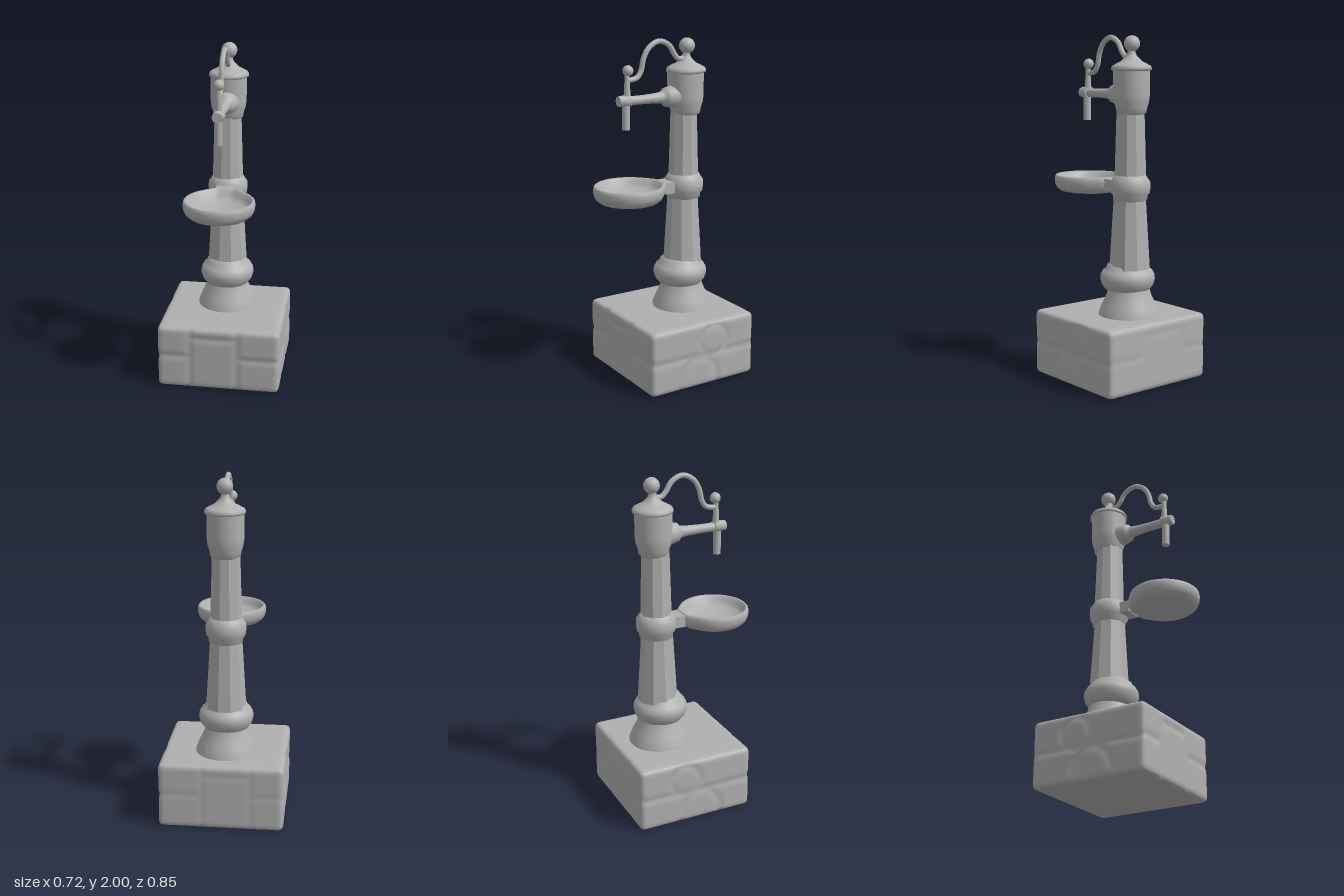
import * as THREE from 'three';
import { mergeVertices, toCreasedNormals } from 'three/addons/utils/BufferGeometryUtils.js';

const stone = new THREE.MeshStandardMaterial({ color: 0xb0b0b0 });
stone.name = 'grey stone';

export function createModel() {
  const group = new THREE.Group();

  const add = (name, geometry, x = 0, y = 0, z = 0) => {
    const mesh = new THREE.Mesh(geometry, stone);
    mesh.name = name;
    mesh.position.set(x, y, z);
    group.add(mesh);
    return mesh;
  };
  const lathe = (points, sides = 40) =>
    new THREE.LatheGeometry(points.map(([r, y]) => new THREE.Vector2(r, y)), sides);
  const ball = (name, r, x, y, z) => add(name, new THREE.SphereGeometry(r, 24, 16), x, y, z);

  add('stoneBlock', blockGeometry(), 0, 0.193, -0.07);

  // Flared foot and its thick ring
  add('foot', lathe([[0.18, 0.37], [0.175, 0.4], [0.155, 0.45], [0.13, 0.5], [0.12, 0.54]]), -0.005, 0, -0.15);
  add('footRing', lathe([
    [0.1, 0.525], [0.13, 0.535], [0.15, 0.56], [0.16, 0.595], [0.157, 0.62],
    [0.143, 0.645], [0.125, 0.655], [0.12, 0.675], [0.1, 0.69],
  ]), -0.005, 0, -0.138);

  // Faceted shafts
  const shaft = (name, y0, y1, r0, r1, z) => {
    const g = new THREE.CylinderGeometry(r1, r0, y1 - y0, 10, 1, true);
    add(name, toCreasedNormals(g, 0.4), -0.006, (y0 + y1) / 2, z).rotation.y = Math.PI / 10;
  };
  shaft('lowerShaft', 0.66, 1.07, 0.118, 0.093, -0.155);
  shaft('upperShaft', 1.19, 1.57, 0.091, 0.08, -0.16);

  // Collar carrying the basin
  add('collar', lathe([
    [0.085, 1.055], [0.098, 1.06], [0.1, 1.085], [0.113, 1.1], [0.117, 1.13], [0.115, 1.165],
    [0.1, 1.185], [0.092, 1.2], [0.08, 1.205],
  ]), -0.005, 0, -0.16);

  // Pump head with domed cap
  add('pumpHead', lathe([
    [0.07, 1.55], [0.085, 1.56], [0.09, 1.59], [0.1, 1.62], [0.105, 1.66], [0.106, 1.79], [0.106, 1.8],
  ]), -0.004, 0, -0.17);
  add('headCap', lathe([
    [0.1, 1.795], [0.115, 1.8], [0.116, 1.812], [0.109, 1.825], [0.098, 1.83], [0.085, 1.838],
    [0.06, 1.85], [0.045, 1.865], [0.03, 1.88], [0.022, 1.9], [0.022, 1.92],
  ]), -0.002, 0, -0.172);
  ball('capBall', 0.046, -0.001, 1.948, -0.177);

  // Spout, turned about the z axis
  const spout = lathe([
    [0.07, -0.1], [0.062, -0.055], [0.056, -0.035], [0.053, -0.022], [0.04, -0.016],
    [0.034, 0], [0.029, 0.05], [0.026, 0.12], [0.026, 0.23],
  ], 24);
  spout.rotateX(Math.PI / 2);
  add('spout', spout, 0, 1.662, 0);
  const tap = new THREE.CylinderGeometry(0.03, 0.037, 0.072, 8);
  tap.rotateX(Math.PI / 2);
  add('tapBody', toCreasedNormals(tap, 0.9), 0, 1.664, 0.246);
  add('downPipe', new THREE.CylinderGeometry(0.022, 0.023, 0.15, 20), 0, 1.575, 0.233);
  add('tapPost', new THREE.CylinderGeometry(0.013, 0.02, 0.13, 16), 0, 1.75, 0.224);
  ball('tapBall', 0.031, 0, 1.832, 0.218);

  // Swan-neck handle
  const path = new THREE.CatmullRomCurve3([
    [1.778, 0.222], [1.78, 0.19], [1.79, 0.158], [1.825, 0.133], [1.895, 0.115], [1.953, 0.078],
    [1.984, 0.012], [1.957, -0.054], [1.9, -0.093], [1.876, -0.122], [1.885, -0.172],
  ].map(([y, z]) => new THREE.Vector3(0, y, z)));
  add('handle', new THREE.TubeGeometry(path, 64, 0.0155, 12));

  // Basin and the bracket that joins it to the collar
  add('basin', basinGeometry());
  add('basinBracket', new THREE.BoxGeometry(0.11, 0.068, 0.1), 0, 1.135, -0.045);
  return group;
}

// Rounded block with shallow joints between its stones
function blockGeometry() {
  const half = new THREE.Vector3(0.362, 0.193, 0.355), r = 0.028;
  let g = new THREE.BoxGeometry(half.x * 2, half.y * 2, half.z * 2, 48, 28, 48);
  g.deleteAttribute('uv');
  g.deleteAttribute('normal');
  g = mergeVertices(g);
  const core = half.clone().subScalar(r), low = core.clone().negate();
  const pos = g.attributes.position, p = new THREE.Vector3(), c = new THREE.Vector3();
  const line = (d) => Math.exp(-((d / 0.018) ** 2));
  for (let i = 0; i < pos.count; i++) {
    p.fromBufferAttribute(pos, i);
    c.copy(p).clamp(low, core);
    const dir = p.clone().sub(c).normalize();
    let dent = 0;
    if (Math.abs(dir.z) > 0.7) {
      // front and back: a central stone with split courses beside it
      const depth = dir.z > 0 ? 1 : 0.4;
      const inside = p.x > -0.17 && p.x < 0.11;
      dent = depth * Math.max(line(p.x + 0.17), line(p.x - 0.11), inside ? line(p.y - 0.13) : line(p.y - 0.01));
    } else if (Math.abs(dir.x) > 0.7) {
      // sides: a round stone above an arched one
      const round = Math.hypot(p.z + 0.07, p.y - 0.08) - 0.09;
      const arch = Math.hypot(p.z - 0.03, (p.y + 0.19) * 0.7) - 0.13;
      dent = Math.max(line(round), line(arch), round > 0 && arch > 0 ? line(p.y) : 0);
    }
    p.copy(c).addScaledVector(dir, r - 0.007 * dent);
    pos.setXYZ(i, p.x, p.y, p.z);
  }
  g.computeVertexNormals();
  return g;
}

// Round bowl whose rim narrows to a neck at the back
function basinGeometry() {
  const n = 64, zc = 0.218, R = 0.206;
  const outline = (a) => {
    const phi = Math.abs(a > Math.PI ? a - Math.PI * 2 : a);
    if (phi > 0.677) return R;
    return Math.min(R / Math.cos(phi - 0.677), 0.22 / Math.cos(phi));
  };
  const rings = [
    [0.001, 1.08], [0.6, 1.071], [0.82, 1.08], [0.94, 1.1], [0.99, 1.125], [1, 1.15], [0.985, 1.168],
    [0.945, 1.176], [0.89, 1.17], [0.83, 1.145], [0.74, 1.118], [0.4, 1.104], [0.001, 1.1],
  ];
  const verts = [], index = [];
  rings.forEach(([s, y], j) => {
    for (let i = 0; i < n; i++) {
      const a = (i / n) * Math.PI * 2, r = outline(a) * s;
      verts.push(Math.sin(a) * r, y, zc - Math.cos(a) * r);
      if (j === rings.length - 1) continue;
      const k = j * n + i, m = j * n + ((i + 1) % n);
      index.push(k, k + n, m, m, k + n, m + n);
    }
  });
  const g = new THREE.BufferGeometry();
  g.setAttribute('position', new THREE.Float32BufferAttribute(verts, 3));
  g.setIndex(index);
  g.computeVertexNormals();
  return g;
}
